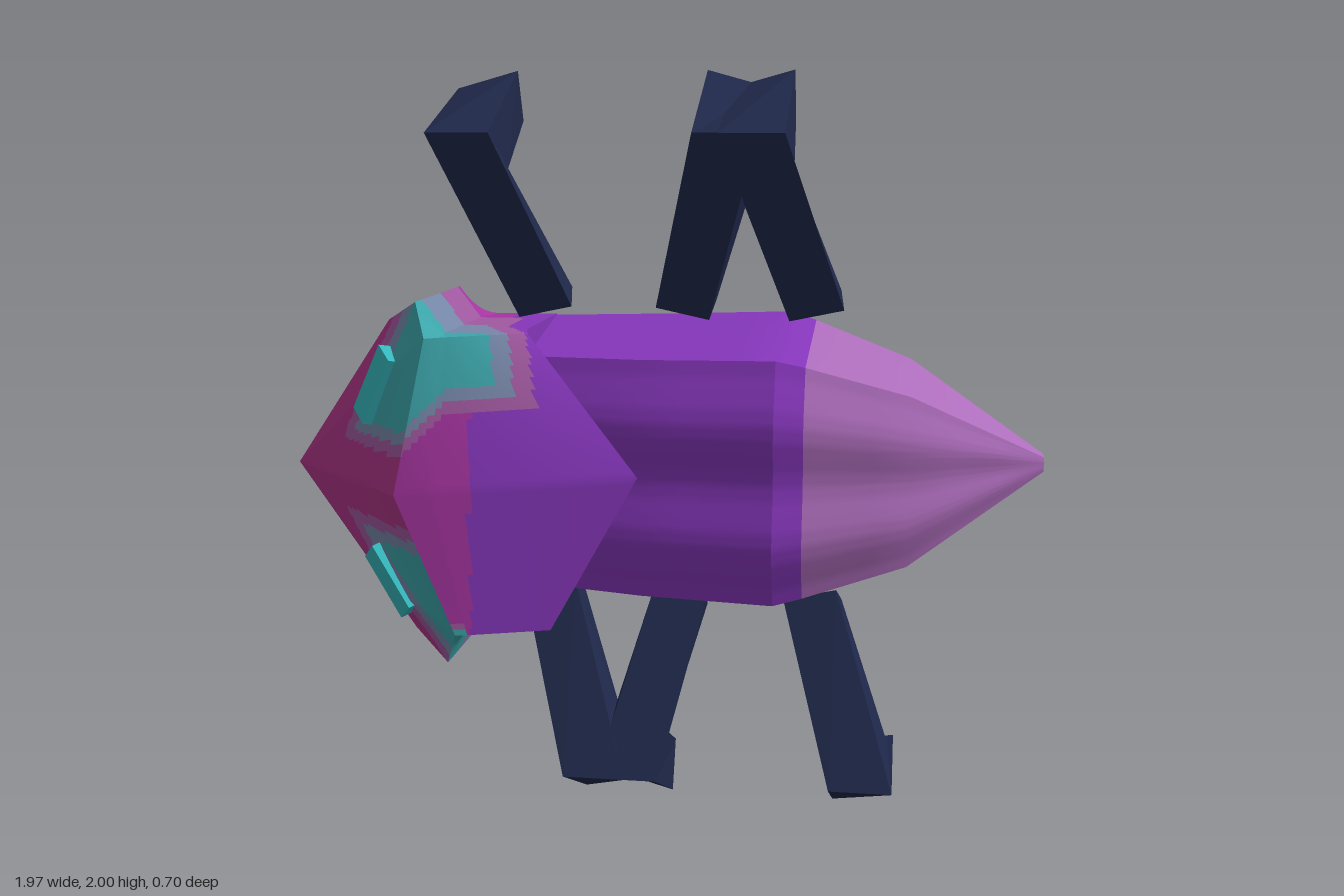
import * as THREE from 'three';
import { toCreasedNormals } from 'three/addons/utils/BufferGeometryUtils.js';

const COLORS = {
  purple: 0x8536ba, tailLilac: 0xac6cba, headMagenta: 0xae3587, collarMagenta: 0xa534a0,
  legNavy: 0x1f284a, eyeTeal: 0x35b6bc, patchTeal: 0x3ca5aa, patchGrey: 0x7687a8, patchMauve: 0xa0589f,
};
const mats = {};
for (const [name, color] of Object.entries(COLORS)) {
  mats[name] = new THREE.MeshStandardMaterial({ color });
  mats[name].name = name;
}

// Skin a list of closed cross-sections; pick(centre, segment) names the colour of each face.
function loft(name, sections, sub, pick) {
  const buckets = {};
  const at = (i, j, u, v) => {
    const A = sections[i], B = sections[i + 1], k = (j + 1) % A.length;
    return [0, 1, 2].map((c) =>
      (A[j][c] * (1 - v) + A[k][c] * v) * (1 - u) + (B[j][c] * (1 - v) + B[k][c] * v) * u);
  };
  for (let i = 0; i < sections.length - 1; i++)
    for (let j = 0; j < sections[i].length; j++)
      for (let a = 0; a < sub; a++)
        for (let b = 0; b < sub; b++) {
          const p = at(i, j, a / sub, b / sub), q = at(i, j, (a + 1) / sub, b / sub);
          const r = at(i, j, (a + 1) / sub, (b + 1) / sub), s = at(i, j, a / sub, (b + 1) / sub);
          const mid = [0, 1, 2].map((c) => (p[c] + q[c] + r[c] + s[c]) / 4);
          (buckets[pick(mid, i)] ??= []).push(...p, ...q, ...r, ...p, ...r, ...s);
        }
  let geo = new THREE.BufferGeometry();
  const all = Object.values(buckets).flat();
  geo.setAttribute('position', new THREE.Float32BufferAttribute(all, 3));
  geo = toCreasedNormals(geo, 0.4);
  let start = 0;
  Object.values(buckets).forEach((list, m) => {
    geo.addGroup(start, list.length / 3, m);
    start += list.length / 3;
  });
  const mesh = new THREE.Mesh(geo, Object.keys(buckets).map((k) => mats[k]));
  mesh.name = name;
  return mesh;
}

// Nested teal patches on the head and collar
function headColor([x, y, z], seg) {
  const { clamp } = THREE.MathUtils;
  const head = seg < 2, upper = y > 0.98;
  let d = -1;
  if (head) {
    d = upper
      ? Math.min(y - 1.07, x + 0.79 - 0.5 * (y - 1.07), z - 0.06)
      : Math.min(0.89 - y, (x + 0.79 - 0.85 * (0.89 - y)) * 0.8, z - 0.06);
  } else if (upper) {
    const low = 1.07 + clamp((x + 0.57) / 0.12, 0, 1) * 0.11;
    const edge = -0.36 + 0.55 * clamp(z - 0.05, 0, 0.25);
    d = Math.min(y - low, (edge - x) * 0.55, (z + 0.14) * 0.176);
  } else if (seg === 2) {
    d = Math.min((0.66 - y) * 3, (z + 0.15) * 0.2);
  }
  if (d > 0.06) return 'patchTeal';
  if (d > 0.03) return 'patchGrey';
  if (d > 0) return 'patchMauve';
  if (head) return z < 0 && x > -0.61 && y < 1.4 && y > 0.57 ? 'collarMagenta' : 'headMagenta';
  return x < -0.4 ? 'collarMagenta' : 'purple';
}

// Loop order: back middle, back low, low back, low front, front low, front middle, front top, top front, top back, back top
function buildHead() {
  const same = (p) => Array(10).fill(p);
  return loft('headAndCollar', [
    same([-0.99, 0.96, -0.125]),
    [[-0.7, 0.98, -0.21], [-0.64, 0.65, -0.2], [-0.6, 0.58, -0.12], [-0.6, 0.58, 0.12], [-0.64, 0.72, 0.22],
      [-0.75, 0.97, 0.15], [-0.66, 1.24, 0.21], [-0.65, 1.38, 0.12], [-0.66, 1.37, -0.14], [-0.67, 1.3, -0.2]],
    [[-0.52, 1.0, -0.25], [-0.5, 0.62, -0.25], [-0.48, 0.535, -0.16], [-0.48, 0.535, 0.26], [-0.44, 0.63, 0.335],
      [-0.58, 0.98, 0.355], [-0.5, 1.36, 0.335], [-0.54, 1.44, 0.26], [-0.54, 1.44, -0.16], [-0.52, 1.36, -0.25]],
    [[-0.42, 1.0, -0.26], [-0.43, 0.63, -0.26], [-0.45, 0.63, -0.16], [-0.43, 0.63, 0.24], [-0.41, 0.63, 0.33],
      [-0.5, 0.99, 0.345], [-0.46, 1.36, 0.3], [-0.48, 1.36, 0.22], [-0.48, 1.36, -0.16], [-0.45, 1.36, -0.255]],
    [[-0.1, 1.0, -0.265], [-0.2, 0.63, -0.265], [-0.25, 0.63, -0.16], [-0.24, 0.64, 0.2], [-0.21, 0.64, 0.29],
      [0, 1.02, 0.25], [-0.28, 1.36, 0.19], [-0.3, 1.36, 0.1], [-0.3, 1.36, -0.16], [-0.3, 1.36, -0.265]],
    same([-0.3, 1, 0]),
  ], 24, headColor);
}

// Abdomen: wide flat back, narrower rippled front, tapering to a pinched tail
function buildAbdomen() {
  const ring = (x, s, front, cy = 1.01) => {
    const pts = [[x, cy, -0.275 * s], [x, cy - 0.365 * s, -0.27 * s]];
    const n = 16;
    for (let i = 0; i <= n; i++) {
      const t = (i / n) * 2 - 1;
      const ripple = -0.014 * Math.cos(t * Math.PI * 2) - 0.03 * t * t;
      pts.push([x, cy + 0.3 * s * t, (front + ripple) * s]);
    }
    pts.push([x, cy + 0.365 * s, -0.27 * s]);
    return pts;
  };
  return loft('abdomen', [
    ring(-0.4, 0.97, 0.13, 1.0), ring(0, 0.985, 0.24, 1.005), ring(0.33, 1, 0.285),
    ring(0.4, 0.945, 0.28), ring(0.65, 0.7, 0.275), ring(0.98, 0.06, 0.2, 1.035), ring(0.98, 0.001, 0.2, 1.035),
  ], 3, ([x]) => (x > 0.4 ? 'tailLilac' : 'purple'));
}

// Bent leg: side profile in z and y, extruded across x and leaned from body to knee
function buildLeg(base, knee, down) {
  const pts = [[-0.24, 1.42], [-0.165, 1.375], [0.055, 1.84], [-0.29, 2], [-0.35, 1.87], [-0.09, 1.75]]
    .map(([z, y]) => new THREE.Vector2(-z, down ? 2.005 - y : y));
  const geo = new THREE.ExtrudeGeometry(new THREE.Shape(pts), { depth: 0.16, bevelEnabled: false });
  geo.translate(0, 0, -0.08).rotateY(Math.PI / 2);
  const p = geo.attributes.position;
  const lean = Math.sign(base - knee), up = down ? -1 : 1;
  for (let i = 0; i < p.count; i++) {
    const y = down ? 2.005 - p.getY(i) : p.getY(i);
    const t = THREE.MathUtils.clamp((y - 1.39) / 0.4, 0, 1);
    const inner = Math.sign(p.getX(i)) * lean;
    p.setX(i, p.getX(i) * (0.88 + 0.14 * t) + base + (knee - base) * t);
    // both ends are cut at a slant
    if (t < 0.2) p.setY(i, p.getY(i) + inner * up * 0.015);
    else if (p.getZ(i) < -0.25 && inner < 0) p.setY(i, p.getY(i) - up * 0.045);
  }
  geo.computeVertexNormals();
  const leg = new THREE.Mesh(geo, mats.legNavy);
  leg.name = down ? 'lowerLeg' : 'upperLeg';
  return leg;
}

// Slanted eye bar lying on the sloped face
function buildEye(name, from, to, outY) {
  const a = new THREE.Vector3(...from), b = new THREE.Vector3(...to);
  const along = b.clone().sub(a);
  const eye = new THREE.Mesh(new THREE.BoxGeometry(0.07, along.length(), 0.035), mats.eyeTeal);
  along.normalize();
  const out = new THREE.Vector3(-0.65, outY, 0.7);
  out.addScaledVector(along, -out.dot(along)).normalize();
  const side = new THREE.Vector3().crossVectors(along, out);
  eye.quaternion.setFromRotationMatrix(new THREE.Matrix4().makeBasis(side, along, out));
  eye.position.copy(a).add(b).multiplyScalar(0.5);
  eye.name = name;
  return eye;
}

export function createModel() {
  const model = new THREE.Group();
  model.name = 'beetle';
  model.add(buildHead(), buildAbdomen());
  model.add(buildEye('upperEye', [-0.7, 1.145, 0.19], [-0.615, 1.31, 0.235], 0.25));
  model.add(buildEye('lowerEye', [-0.685, 0.805, 0.19], [-0.58, 0.66, 0.235], -0.25));
  for (const [base, knee, down] of [
    [-0.31, -0.485, false], [0.055, 0.185, false], [0.405, 0.25, false],
    [-0.305, -0.15, true], [0.055, -0.065, true], [0.4, 0.55, true],
  ]) model.add(buildLeg(base, knee, down));
  return model;
}
